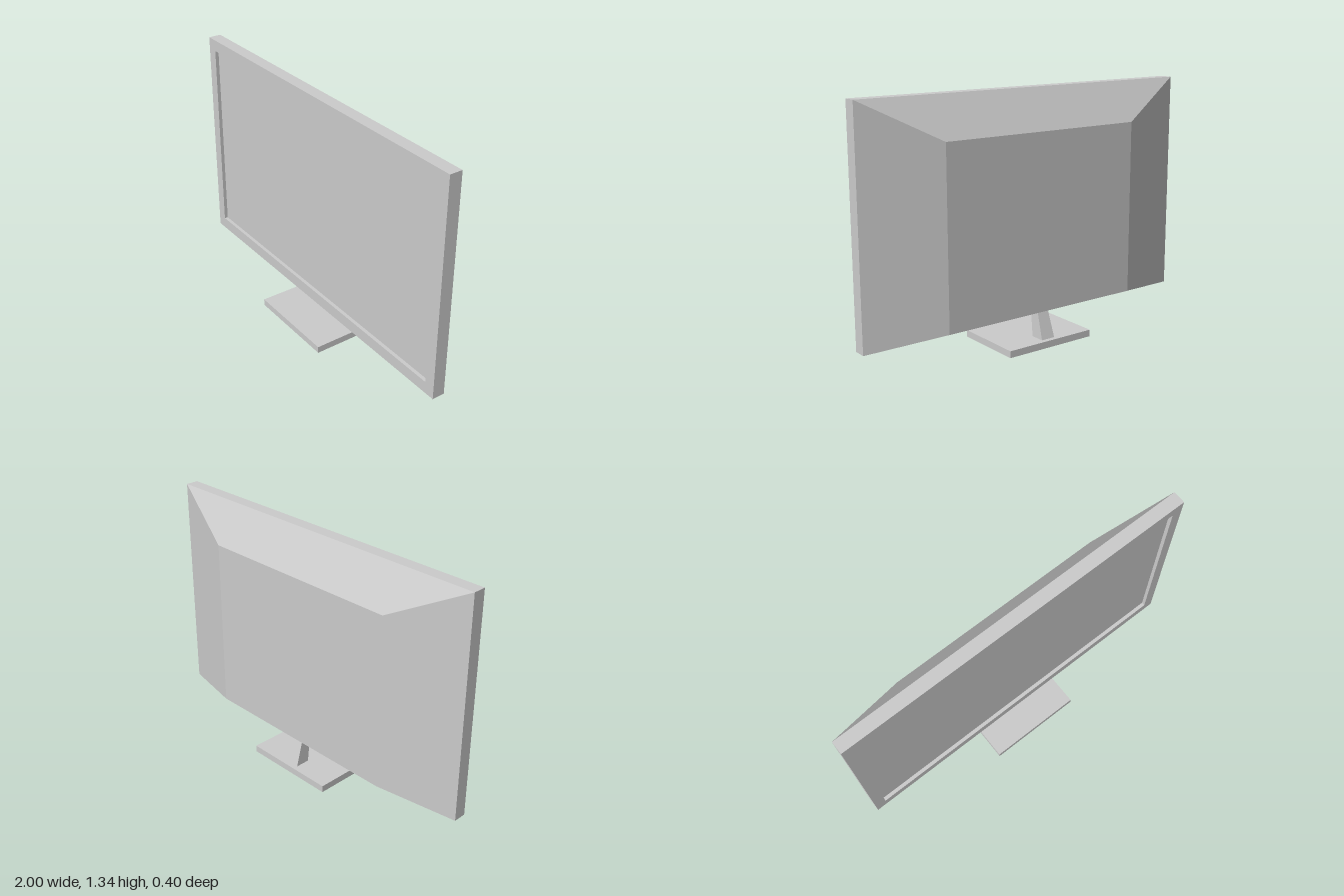
import * as THREE from 'three';

const material = new THREE.MeshStandardMaterial({ color: 0xcccccc, flatShading: true });

function add(group, name, geometry) {
  const mesh = new THREE.Mesh(geometry, material);
  mesh.name = name;
  group.add(mesh);
  return mesh;
}

// Box whose corners are placed by a rule: (sx, sy, sz) signs -> [x, y, z]
function shapedBox(rule) {
  const geometry = new THREE.BoxGeometry(2, 2, 2);
  const p = geometry.attributes.position;
  for (let i = 0; i < p.count; i++) {
    p.setXYZ(i, ...rule(p.getX(i), p.getY(i), p.getZ(i)));
  }
  geometry.computeVertexNormals();
  return geometry;
}

function rectangle(PathType, halfWidth, bottom, top) {
  return new PathType([
    new THREE.Vector2(-halfWidth, bottom),
    new THREE.Vector2(halfWidth, bottom),
    new THREE.Vector2(halfWidth, top),
    new THREE.Vector2(-halfWidth, top),
  ]);
}

export function createModel() {
  const model = new THREE.Group();
  model.name = 'monitor';
  const bottom = 0.13, top = 1.343;

  // Bezel frame around the recessed screen
  const outline = rectangle(THREE.Shape, 1, bottom, top);
  outline.holes.push(rectangle(THREE.Path, 0.94, 0.195, 1.28));
  const bezel = new THREE.ExtrudeGeometry(outline, { depth: 0.07, bevelEnabled: false });
  add(model, 'bezel', bezel.translate(0, 0, -0.02));

  // Screen panel set back inside the frame
  const screen = add(model, 'screen', new THREE.PlaneGeometry(1.88, 1.085));
  screen.position.set(0, 0.7375, 0.03);

  // Back shell tapering to a smaller flat panel
  add(model, 'backShell', shapedBox((x, y, z) => z > 0
    ? [x, y > 0 ? top : bottom, -0.02]
    : [x * 0.59, y > 0 ? 1.13 : 0.18, -0.14]));

  // Tapered neck leaning forward into the shell
  add(model, 'neck', shapedBox((x, y, z) => y > 0
    ? [x * 0.033, 0.19, z > 0 ? -0.064 : -0.12]
    : [x * 0.041, 0.03, z > 0 ? -0.09 : -0.172]));

  // Flat base plate
  const base = add(model, 'base', new THREE.BoxGeometry(0.53, 0.037, 0.396));
  base.position.set(0, 0.0185, 0.001);

  return model;
}
